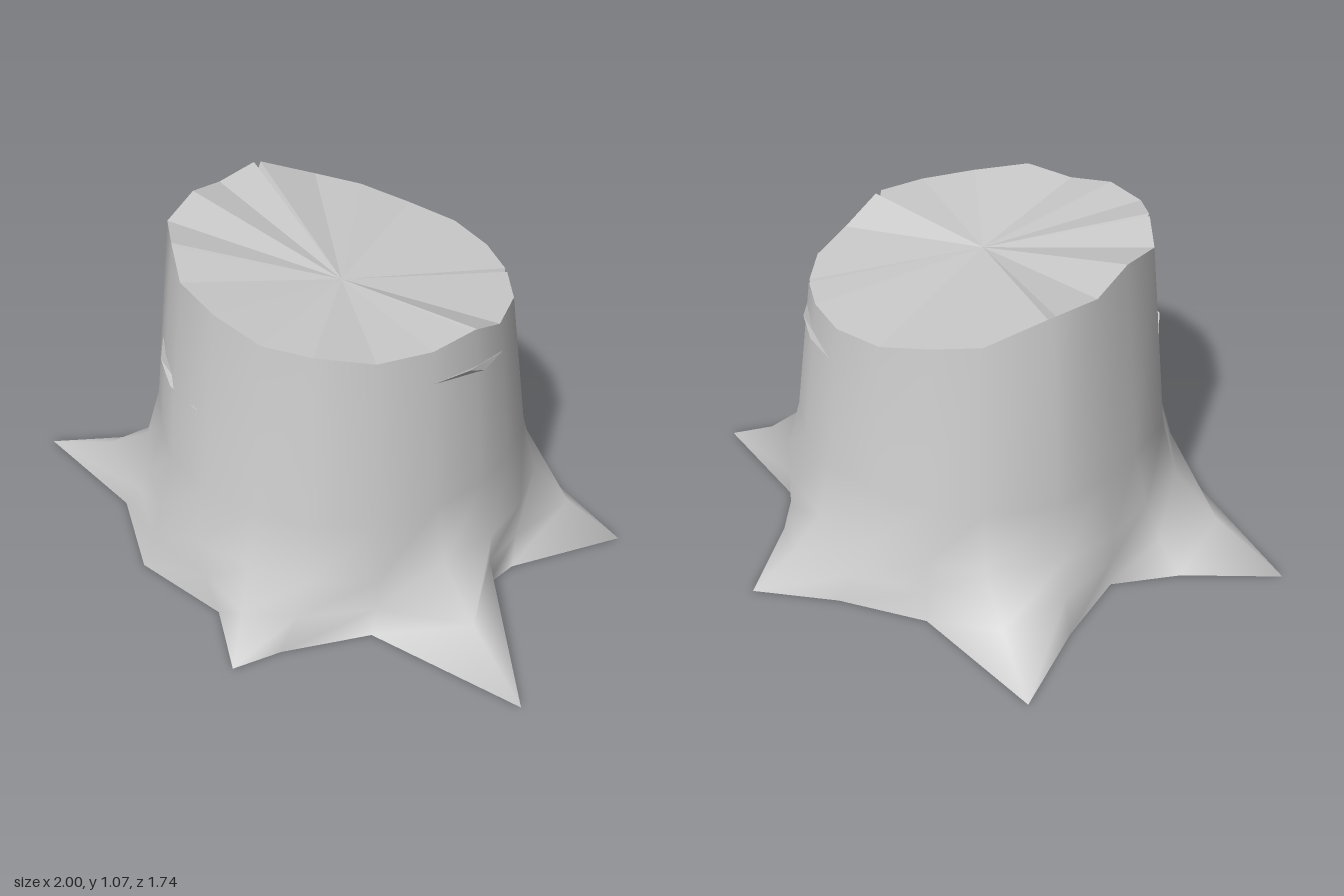
import * as THREE from 'three';

// Rim of the cut: x, y, z per column, running left edge, back, right edge, front
const RIM = [
  [-0.46, 1.045, 0.13], [-0.46, 1.07, -0.04], [-0.45, 1.03, -0.2], [-0.4, 1.04, -0.37],
  [-0.25, 0.96, -0.51], [-0.1, 0.93, -0.56], [0.07, 0.89, -0.58], [0.25, 0.875, -0.55],
  [0.4, 0.865, -0.46], [0.51, 0.855, -0.35], [0.59, 0.855, -0.2], [0.61, 0.865, -0.02],
  [0.59, 0.93, 0.14], [0.52, 0.925, 0.3], [0.4, 0.93, 0.44], [0.24, 0.96, 0.53],
  [0.07, 0.955, 0.53], [-0.1, 1.0, 0.5], [-0.26, 1.02, 0.41], [-0.36, 1.06, 0.28],
].map((p) => new THREE.Vector3(...p));

// Ground outline with the root tips, x and z per column
const BASE = [
  [-1, 0.1], [-0.72, -0.07], [-0.55, -0.23], [-0.56, -0.5], [-0.61, -0.83],
  [-0.15, -0.69], [0.14, -0.76], [0.4, -0.87], [0.51, -0.57], [0.6, -0.41],
  [1, -0.24], [0.73, 0.05], [0.69, 0.17], [0.98, 0.65], [0.45, 0.55],
  [0.23, 0.74], [0.13, 0.87], [-0.03, 0.66], [-0.36, 0.56], [-0.58, 0.3],
].map(([x, z]) => new THREE.Vector3(x, 0, z));

const N = RIM.length;
const HEART = new THREE.Vector3(0.1, 0.92, 0.03);
const AXIS = new THREE.Vector3(0.08, 0, -0.02);

// Rim point pushed away from the axis and set to a height
function flare(i, amount, y) {
  const out = RIM[i].clone().sub(AXIS).setY(0).normalize();
  return RIM[i].clone().addScaledVector(out, amount).setY(y);
}

const WAIST = RIM.map((_, i) => flare(i, 0.06, 0.39));
const SHOULDER = RIM.map((_, i) => flare(i, 0.11, 0.21));
const ROOT = RIM.map((_, i) => SHOULDER[i].clone().lerp(BASE[i], 0.4).setY(0.1));

function mesh(name, points, index, side = THREE.FrontSide) {
  const geometry = new THREE.BufferGeometry().setFromPoints(points);
  if (index) geometry.setIndex(index);
  geometry.computeVertexNormals();
  const result = new THREE.Mesh(geometry, new THREE.MeshStandardMaterial({ color: 0xcccccc, side }));
  result.name = name;
  return result;
}

// Smooth bark, lofted through the rings
function bark() {
  const rings = [BASE, ROOT, SHOULDER, WAIST, RIM];
  const index = [];
  for (let r = 0; r < rings.length - 1; r++) {
    for (let i = 0; i < N; i++) {
      const a = r * N + i, b = r * N + (i + 1) % N;
      index.push(b, a, a + N, b, a + N, b + N);
    }
  }
  return mesh('bark', rings.flat(), index);
}

// Cut face: a fan of wedges with V-shaped cracks along some spokes
function cutFace() {
  const cracked = [3, 9, 12, 19];
  const points = [];
  const edge = (i, step) => {
    const from = RIM[i], to = RIM[(i + step + N) % N];
    return cracked.includes(i) ? from.clone().lerp(to, 0.07) : from;
  };
  for (let i = 0; i < N; i++) {
    points.push(HEART, edge((i + 1) % N, -1), edge(i, 1));
  }
  for (const i of cracked) {
    const floor = RIM[i].clone().lerp(HEART, 0.01);
    floor.y -= 0.035;
    points.push(HEART, floor, edge(i, -1), HEART, edge(i, 1), floor);
  }
  return mesh('cutFace', points, null, THREE.DoubleSide);
}

function underside() {
  const points = [];
  for (let i = 0; i < N; i++) points.push(AXIS, BASE[i], BASE[(i + 1) % N]);
  return mesh('underside', points);
}

// Point on the upper bark at a fractional column and a height
function onBark(column, y, lift = 0) {
  const i = Math.floor(column) % N, j = (i + 1) % N, t = column % 1;
  const top = RIM[i].clone().lerp(RIM[j], t);
  const low = WAIST[i].clone().lerp(WAIST[j], t);
  const p = low.lerp(top, (y - low.y) / (top.y - low.y));
  const out = p.clone().sub(AXIS).setY(0).normalize();
  return p.addScaledVector(out, lift);
}

// Lifted sliver of bark between two columns
function barkSplit(c0, y0, c1, y1) {
  const at = (t, dy, lift) => onBark(c0 + (c1 - c0) * t, y0 + (y1 - y0) * t + dy, lift);
  const a = at(0, 0, 0.002), b = at(1, 0, 0.002);
  const low = at(0.4, -0.012, 0.008), lip = at(0.65, 0.02, 0.022);
  return mesh('barkSplit', [a, low, lip, low, b, lip, a, lip, b], null, THREE.DoubleSide);
}

export function createModel() {
  const stump = new THREE.Group();
  stump.name = 'treeStump';
  stump.add(bark(), cutFace(), underside());
  stump.add(barkSplit(17.3, 0.64, 19.6, 0.655));
  stump.add(barkSplit(11, 0.77, 13, 0.82));
  stump.add(barkSplit(7.2, 0.75, 9.2, 0.765));
  return stump;
}
